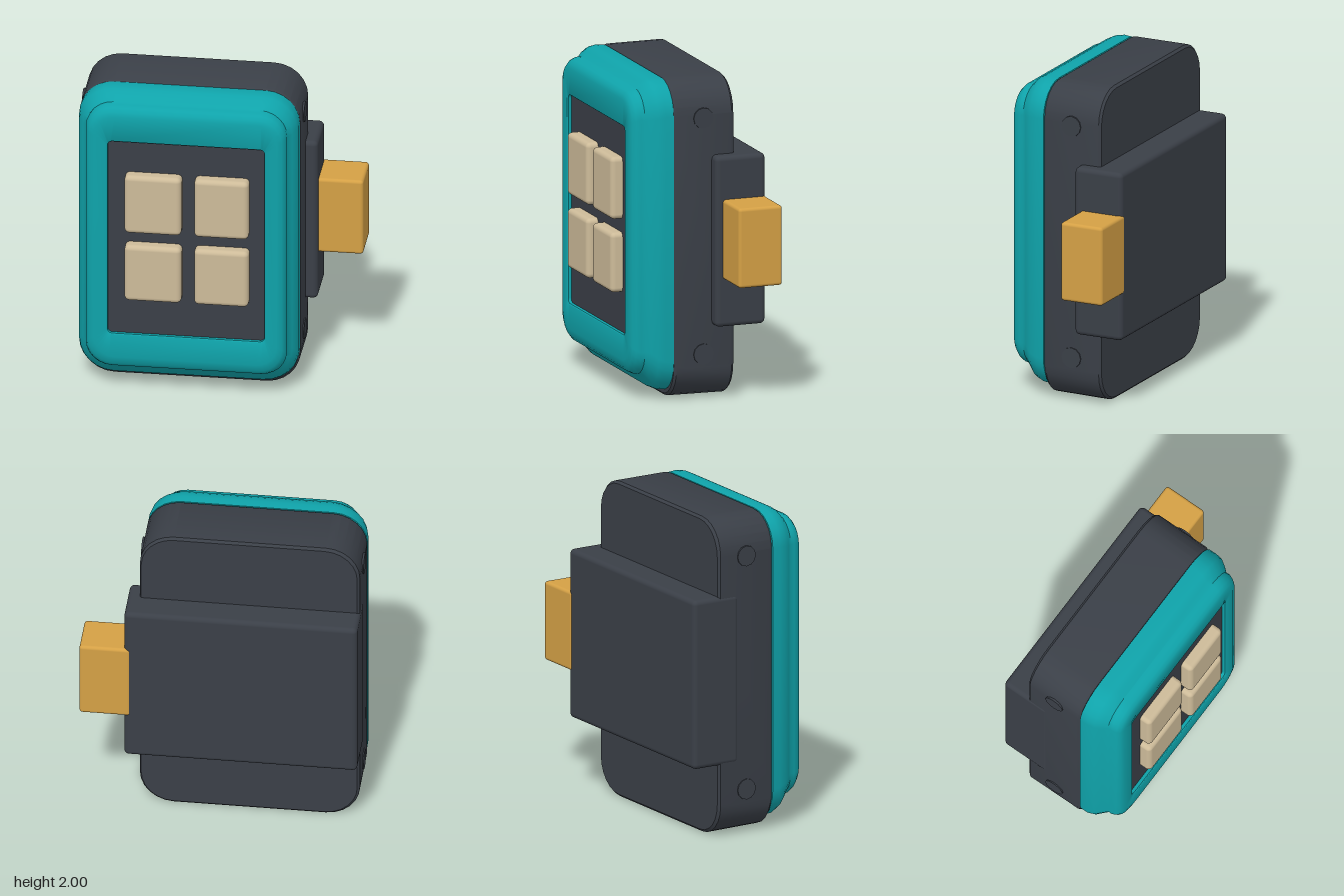
import * as THREE from 'three';
import { toCreasedNormals } from 'three/addons/utils/BufferGeometryUtils.js';
import { RoundedBoxGeometry } from 'three/addons/geometries/RoundedBoxGeometry.js';

const mat = (name, color) => {
  const m = new THREE.MeshStandardMaterial({ color });
  m.name = name;
  return m;
};

// Rounded rectangle as a counter-clockwise ring at depth z
function ring([x0, x1, y0, y1, r, z], seg = 6) {
  const pts = [];
  const corners = [[x1 - r, y0 + r], [x1 - r, y1 - r], [x0 + r, y1 - r], [x0 + r, y0 + r]];
  corners.forEach(([cx, cy], k) => {
    for (let i = 0; i <= seg; i++) {
      const a = (k - 1 + i / seg) * Math.PI / 2;
      pts.push([cx + r * Math.cos(a), cy + r * Math.sin(a), z]);
    }
  });
  return pts;
}

// Skin a list of rings, optionally closing the first and last
function loft(sections, capStart, capEnd, crease) {
  const rings = sections.map((s) => ring(s));
  const n = rings[0].length;
  const pos = rings.flat(2);
  const idx = [];
  for (let j = 0; j < rings.length - 1; j++) {
    for (let i = 0; i < n; i++) {
      const a = j * n + i, b = j * n + (i + 1) % n;
      idx.push(a, b, b + n, a, b + n, a + n);
    }
  }
  const last = (rings.length - 1) * n;
  for (let i = 1; i < n - 1; i++) {
    if (capStart) idx.push(0, i + 1, i);
    if (capEnd) idx.push(last, last + i, last + i + 1);
  }
  const g = new THREE.BufferGeometry();
  g.setAttribute('position', new THREE.Float32BufferAttribute(pos, 3));
  g.setIndex(idx);
  return toCreasedNormals(g, crease);
}

export function createModel() {
  const group = new THREE.Group();
  const dark = mat('charcoal', 0x3a3f47);
  const teal = mat('teal', 0x0fa3aa);
  const cream = mat('cream', 0xcdbb99);
  const gold = mat('amber', 0xd4a045);

  const add = (name, geometry, material) => {
    const m = new THREE.Mesh(geometry, material);
    m.name = name;
    group.add(m);
    return m;
  };
  const box = (name, material, x0, x1, y0, y1, z0, z1, r) => {
    const m = add(name, new RoundedBoxGeometry(x1 - x0, y1 - y0, z1 - z0, 3, r), material);
    m.position.set((x0 + x1) / 2, (y0 + y1) / 2, (z0 + z1) / 2);
    return m;
  };

  // Rear housing: x0, x1, y0, y1, corner radius, z
  add('housing', loft([
    [-0.835, 0.495, 0.015, 1.985, 0.2, -0.255],
    [-0.85, 0.505, 0, 2, 0.21, -0.24],
    [-0.85, 0.505, 0.005, 2, 0.21, 0.12],
    [-0.84, 0.495, 0.02, 1.99, 0.2, 0.135],
  ], true, true, 0.6), dark);

  // Stepped front frame, ending in a recessed opening
  add('frontFrame', loft([
    [-0.85, 0.505, 0.045, 1.995, 0.21, 0.138],
    [-0.85, 0.505, 0.05, 2, 0.21, 0.19],
    [-0.84, 0.5, 0.07, 1.995, 0.21, 0.235],
    [-0.815, 0.475, 0.115, 1.975, 0.2, 0.275],
    [-0.79, 0.45, 0.15, 1.94, 0.17, 0.305],
    [-0.79, 0.45, 0.155, 1.937, 0.16, 0.33],
    [-0.78, 0.44, 0.17, 1.925, 0.16, 0.36],
    [-0.765, 0.425, 0.195, 1.905, 0.15, 0.38],
    [-0.735, 0.395, 0.24, 1.875, 0.13, 0.39],
    [-0.655, 0.325, 0.395, 1.715, 0.03, 0.39],
    [-0.65, 0.32, 0.4, 1.71, 0.03, 0.385],
    [-0.65, 0.32, 0.4, 1.71, 0.03, 0.33],
  ], true, false, 0.75), teal);

  // Keypad panel and its four buttons
  box('keypadPanel', dark, -0.655, 0.325, 0.395, 1.715, 0.25, 0.365, 0.01);
  for (const [x0, x1] of [[-0.54, -0.19], [-0.11, 0.225]]) {
    for (const [y0, y1] of [[1.11, 1.5], [0.65, 1.025]]) {
      box('button', cream, x0, x1, y0, y1, 0.3, 0.44, 0.03);
    }
  }

  // Rear lock block wrapping the housing, with the bolt on its side
  box('lockBlock', dark, -0.855, 0.58, 0.465, 1.535, -0.435, -0.11, 0.03);
  box('lockBolt', gold, 0.54, 0.855, 0.765, 1.265, -0.44, -0.155, 0.02);

  // Side screws on both flanks
  for (const x of [-0.845, 0.5]) {
    for (const y of [0.29, 1.77]) {
      const s = add('sideScrew', new THREE.CylinderGeometry(0.065, 0.065, 0.025, 12), dark);
      s.rotation.z = Math.PI / 2;
      s.position.set(x, y, -0.055);
    }
  }
  return group;
}
